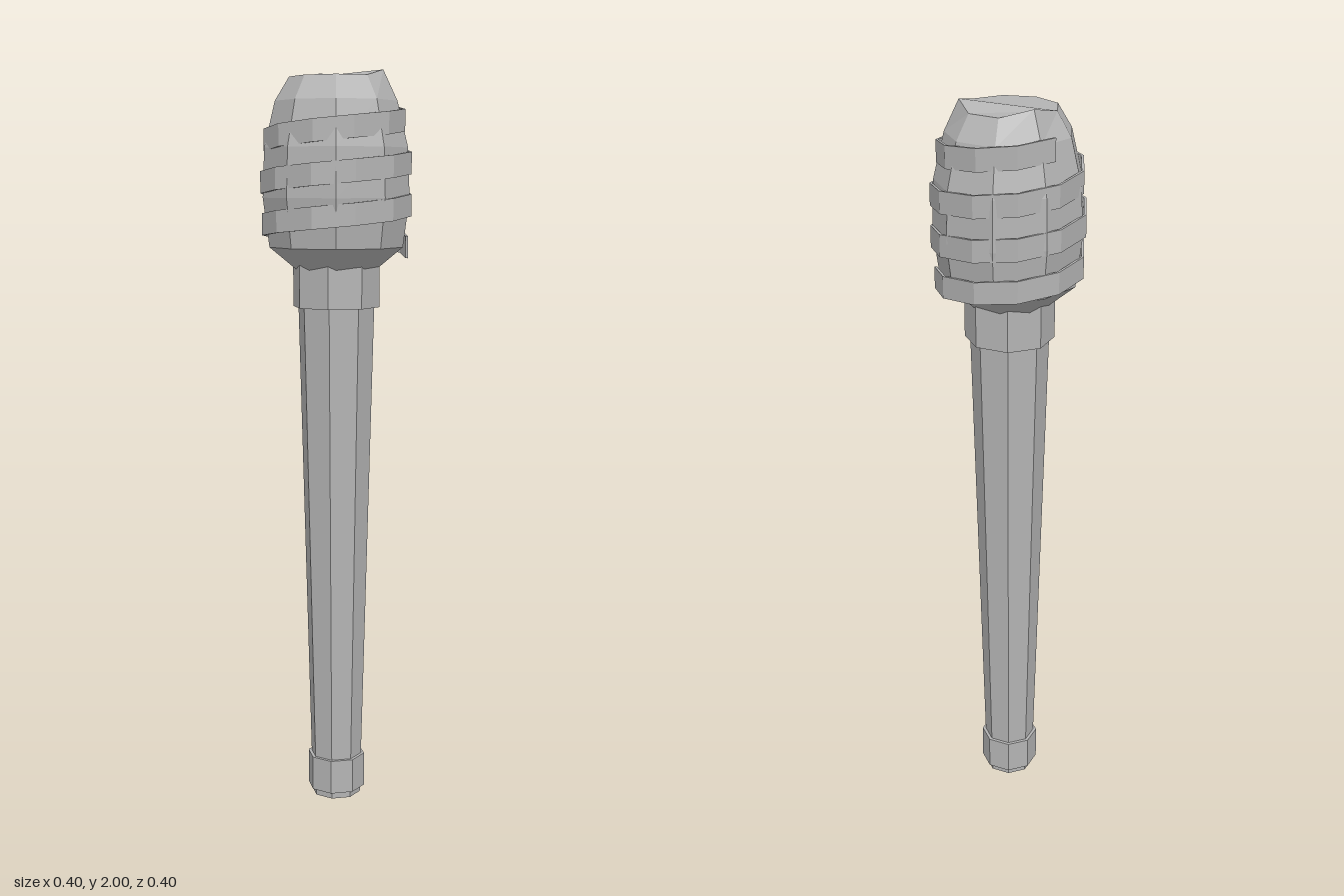
import * as THREE from 'three';

const TAU = Math.PI * 2;

export function createModel() {
  const group = new THREE.Group();
  group.name = 'torch';
  const grey = new THREE.MeshStandardMaterial({ color: 0xb4b4b4 });
  grey.name = 'grey';

  // Faceted look: split every face and give it its own normal
  const add = (name, geometry) => {
    const flat = geometry.index ? geometry.toNonIndexed() : geometry;
    flat.computeVertexNormals();
    const mesh = new THREE.Mesh(flat, grey);
    mesh.name = name;
    group.add(mesh);
  };
  const indexed = (positions, index) => {
    const g = new THREE.BufferGeometry();
    g.setAttribute('position', new THREE.Float32BufferAttribute(positions, 3));
    g.setIndex(index);
    return g;
  };
  const octagon = (name, rTop, rBottom, y0, y1) => {
    const g = new THREE.CylinderGeometry(rTop, rBottom, y1 - y0, 8);
    add(name, g.translate(0, (y0 + y1) / 2, 0));
  };

  // Handle with its end cap and upper collar
  octagon('handle', 0.104, 0.068, 0, 1.39);
  octagon('endCap', 0.08, 0.08, 0.02, 0.115);
  octagon('collar', 0.118, 0.118, 1.38, 1.51);

  // Nine-sided head, with two corners of the rim raised
  const sides = 9;
  const profile = [[0.09, 1.465], [0.18, 1.54], [0.197, 1.67], [0.192, 1.8], [0.163, 1.92], [0.125, 1.982]];
  const raised = { 0: 0.018, 3: 0.018 };
  const pos = [], idx = [];
  profile.forEach(([r, y], ring) => {
    for (let i = 0; i < sides; i++) {
      const a = (i / sides) * TAU;
      const lift = ring === profile.length - 1 ? raised[i] || 0 : 0;
      pos.push(r * Math.cos(a), y + lift, -r * Math.sin(a));
      if (ring === 0) continue;
      const n = (i + 1) % sides, lo = (ring - 1) * sides, hi = ring * sides;
      idx.push(lo + i, lo + n, hi + n, lo + i, hi + n, hi + i);
    }
  });
  const rim = (profile.length - 1) * sides;
  for (let k = 5; k < 12; k++) idx.push(rim + 4, rim + (k % sides), rim + ((k + 1) % sides));
  add('head', indexed(pos, idx));

  // Cloth strip wound upwards around the head
  const perTurn = 11, steps = 37, half = 0.029, thick = 0.007;
  const strip = [], faces = [];
  for (let s = 0; s <= steps; s++) {
    const turn = s / perTurn, a = turn * TAU;
    const y = 1.54 + 0.11 * turn;
    const r = 0.202 - 0.008 * Math.max(0, 1 - turn) - 0.018 * Math.max(0, turn - 2.0);
    const corners = [[r, -half], [r, half], [r - thick, half], [r - thick, -half]];
    for (const [cr, dy] of corners) strip.push(cr * Math.cos(a), y + dy, -cr * Math.sin(a));
    if (s === 0) continue;
    const p = (s - 1) * 4, q = s * 4;
    for (let c = 0; c < 4; c++) {
      const d = (c + 1) % 4;
      faces.push(p + c, q + c, q + d, p + c, q + d, p + d);
    }
  }
  const e = steps * 4;
  faces.push(0, 1, 2, 0, 2, 3, e, e + 2, e + 1, e, e + 3, e + 2);
  add('wrapping', indexed(strip, faces));

  return group;
}
